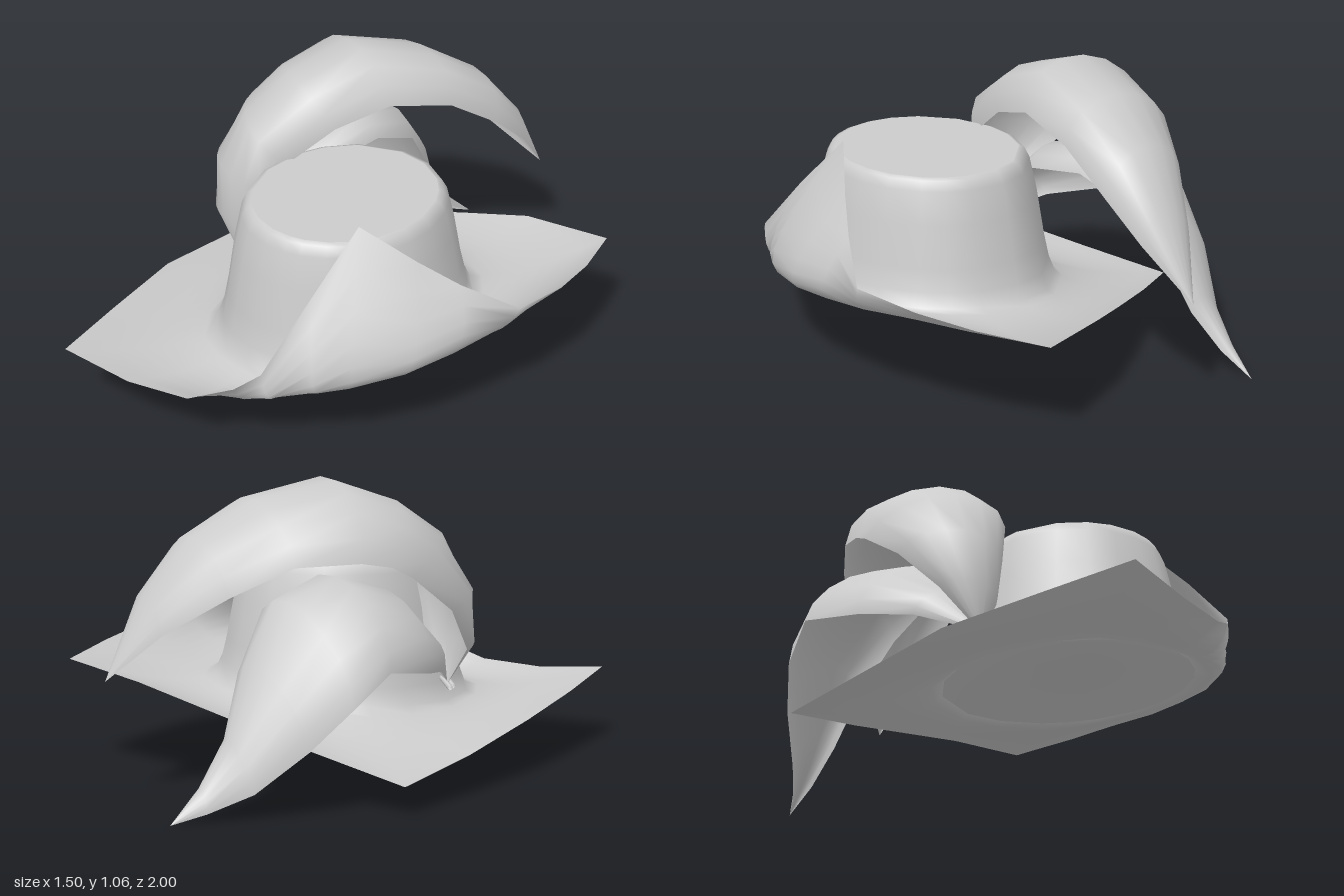
import * as THREE from 'three';

const material = new THREE.MeshStandardMaterial({ color: 0xcccccc, side: THREE.DoubleSide });
const vec = (a) => new THREE.Vector3(...a);

// Skins a grid of cross-sections with smooth normals; closed joins each row into a ring
function loft(name, rows, closed) {
  const n = rows[0].length, index = [];
  for (let i = 0; i < rows.length - 1; i++) {
    for (let j = 0; j < (closed ? n : n - 1); j++) {
      const a = i * n + j, b = i * n + (j + 1) % n;
      index.push(a, a + n, b + n, a, b + n, b);
    }
  }
  const geometry = new THREE.BufferGeometry().setFromPoints(rows.flat());
  geometry.setIndex(index);
  geometry.computeVertexNormals();
  const mesh = new THREE.Mesh(geometry, material);
  mesh.name = name;
  return mesh;
}

// Oval where crown and brim meet, on a tilted plane
const CX = 0.12, CZ = 0.08, RX = 0.43, RZ = 0.48, TOP = 0.75;
function ovalPoint(angle, scale = 1) {
  const x = scale * RX * Math.cos(angle), z = scale * RZ * Math.sin(angle);
  return new THREE.Vector3(CX + x, 0.28 + 0.08 * x - 0.05 * z, CZ + z);
}

// Brim: each entry is an edge point and, along the turned-up flap, the bend below it
const brimEdge = [
  [[-0.3, 0.275, 1]], [[-0.04, 0.245, 0.92]], [[0.18, 0.255, 0.83]],
  [[0.31, 0.32, 0.73], [0.3, 0.18, 0.68]],
  [[0.37, 0.38, 0.66], [0.4, 0.2, 0.66]],
  [[0.38, 0.6, 0.45], [0.56, 0.22, 0.61]],
  [[0.38, 0.8, 0.24], [0.69, 0.25, 0.54]],
  [[0.52, 0.67, 0.1], [0.78, 0.3, 0.3]],
  [[0.62, 0.58, -0.01], [0.8, 0.34, 0.08]],
  [[0.75, 0.48, -0.17], [0.72, 0.34, -0.12]],
  [[0.72, 0.45, -0.4]], [[0.65, 0.42, -0.6]], [[0.54, 0.39, -0.82]],
  [[0.2, 0.35, -0.75]], [[-0.05, 0.285, -0.65]], [[-0.4, 0.19, -0.5]],
  [[-0.75, 0.1, -0.34]], [[-0.68, 0.145, 0]], [[-0.59, 0.205, 0.35]], [[-0.44, 0.24, 0.7]],
];

function hatBody() {
  const steps = 8;
  const angles = brimEdge.map(([e, bend]) => {
    const [x, , z] = bend || e;
    return Math.atan2((z - CZ) / RZ, (x - CX) / RX);
  });

  // Crown rings from the top down to the flared base [scale, height share]
  const crownRing = ([scale, t]) => angles.map((angle) => {
    const p = ovalPoint(angle, scale);
    p.y = THREE.MathUtils.lerp(p.y, TOP, t);
    return p;
  });

  // Brim spokes curve outward from the crown base to the edge
  const spokes = brimEdge.map(([e, bend], i) => {
    const edge = vec(e), inner = ovalPoint(angles[i]);
    const mid = bend ? vec(bend) : inner.clone().lerp(edge, 0.32);
    if (!bend) mid.y = THREE.MathUtils.lerp(inner.y, edge.y, 0.3) - 0.07;
    return new THREE.QuadraticBezierCurve3(inner, mid, edge).getPoints(steps);
  });
  const brimRows = Array.from({ length: steps + 1 }, (_, i) => spokes.map((s) => s[i]));
  const wallRows = [[0.71, 1], [0.75, 0.985], [0.79, 0.91], [0.85, 0.65], [0.91, 0.3], [0.95, 0.12]].map(crownRing);

  // Shallow domed lining that closes the opening underneath
  const lining = [0.001, 0.25, 0.5, 0.75, 1].map((s) => angles.map((angle) => {
    const p = ovalPoint(angle, s);
    p.y += 0.09 * (1 - s * s);
    return p;
  }));

  const group = new THREE.Group();
  group.name = 'hatBody';
  group.add(
    loft('crownTop', [[0.001, 1], [0.71, 1]].map(crownRing), true),
    loft('crownWallAndBrim', [...wallRows, ...brimRows], true),
    loft('lining', lining, true)
  );
  return group;
}

// Plume: half-oval cross-sections through [right edge, ridge, left edge] stations
function plume(name, stations) {
  const rows = stations.map((station) => {
    const [right, ridge, left] = station.map(vec);
    const centre = right.clone().add(left).multiplyScalar(0.5);
    const half = right.clone().sub(centre), rise = ridge.clone().sub(centre);
    return Array.from({ length: 9 }, (_, k) => {
      const a = Math.PI * k / 8;
      return centre.clone().addScaledVector(half, Math.cos(a)).addScaledVector(rise, Math.sin(a));
    });
  });
  return loft(name, rows, false);
}
const point = (x, y, z) => [[x, y, z], [x, y, z], [x, y, z]];

export function createModel() {
  const hat = new THREE.Group();
  hat.name = 'plumedHat';
  hat.add(hatBody());

  hat.add(plume('upperPlume', [
    point(-0.33, 0.31, 0.2),
    [[-0.25, 0.45, 0.17], [-0.38, 0.48, 0.24], [-0.48, 0.46, 0.16]],
    [[-0.21, 0.6, 0.13], [-0.41, 0.67, 0.22], [-0.56, 0.62, 0.02]],
    [[-0.18, 0.73, 0.1], [-0.39, 0.86, 0.12], [-0.58, 0.75, -0.17]],
    [[-0.1, 0.85, -0.06], [-0.35, 0.98, -0.05], [-0.57, 0.79, -0.25]],
    [[-0.02, 0.91, -0.25], [-0.3, 1.06, -0.28], [-0.55, 0.81, -0.36]],
    [[0.05, 0.86, -0.48], [-0.18, 1, -0.53], [-0.44, 0.8, -0.55]],
    [[0.085, 0.73, -0.68], [-0.09, 0.88, -0.72], [-0.3, 0.7, -0.71]],
    [[0.08, 0.6, -0.83], [-0.02, 0.7, -0.86], [-0.14, 0.57, -0.87]],
    point(0.01, 0.41, -1),
  ]));

  hat.add(plume('lowerPlume', [
    point(-0.33, 0.32, 0.2),
    [[-0.27, 0.48, 0.05], [-0.4, 0.5, 0.08], [-0.5, 0.4, 0.03]],
    [[-0.22, 0.62, -0.12], [-0.45, 0.65, -0.1], [-0.62, 0.43, -0.13]],
    [[-0.2, 0.66, -0.35], [-0.45, 0.72, -0.32], [-0.7, 0.47, -0.36]],
    [[-0.22, 0.58, -0.54], [-0.46, 0.65, -0.52], [-0.68, 0.36, -0.5]],
    [[-0.28, 0.4, -0.67], [-0.45, 0.46, -0.67], [-0.61, 0.23, -0.62]],
    [[-0.33, 0.2, -0.76], [-0.41, 0.24, -0.78], [-0.5, 0.09, -0.76]],
    [[-0.35, 0.08, -0.88], [-0.39, 0.1, -0.89], [-0.42, 0.03, -0.89]],
    point(-0.37, 0, -1),
  ]));

  // Short quills pinning the plumes to the crown
  for (const [x, z] of [[-0.36, 0.19], [-0.34, 0.22]]) {
    const path = new THREE.LineCurve3(vec([x, 0.3, z]), vec([x + 0.06, 0.33, z + 0.01]));
    const quill = new THREE.Mesh(new THREE.TubeGeometry(path, 1, 0.01, 6), material);
    quill.name = 'quill';
    hat.add(quill);
  }
  return hat;
}
